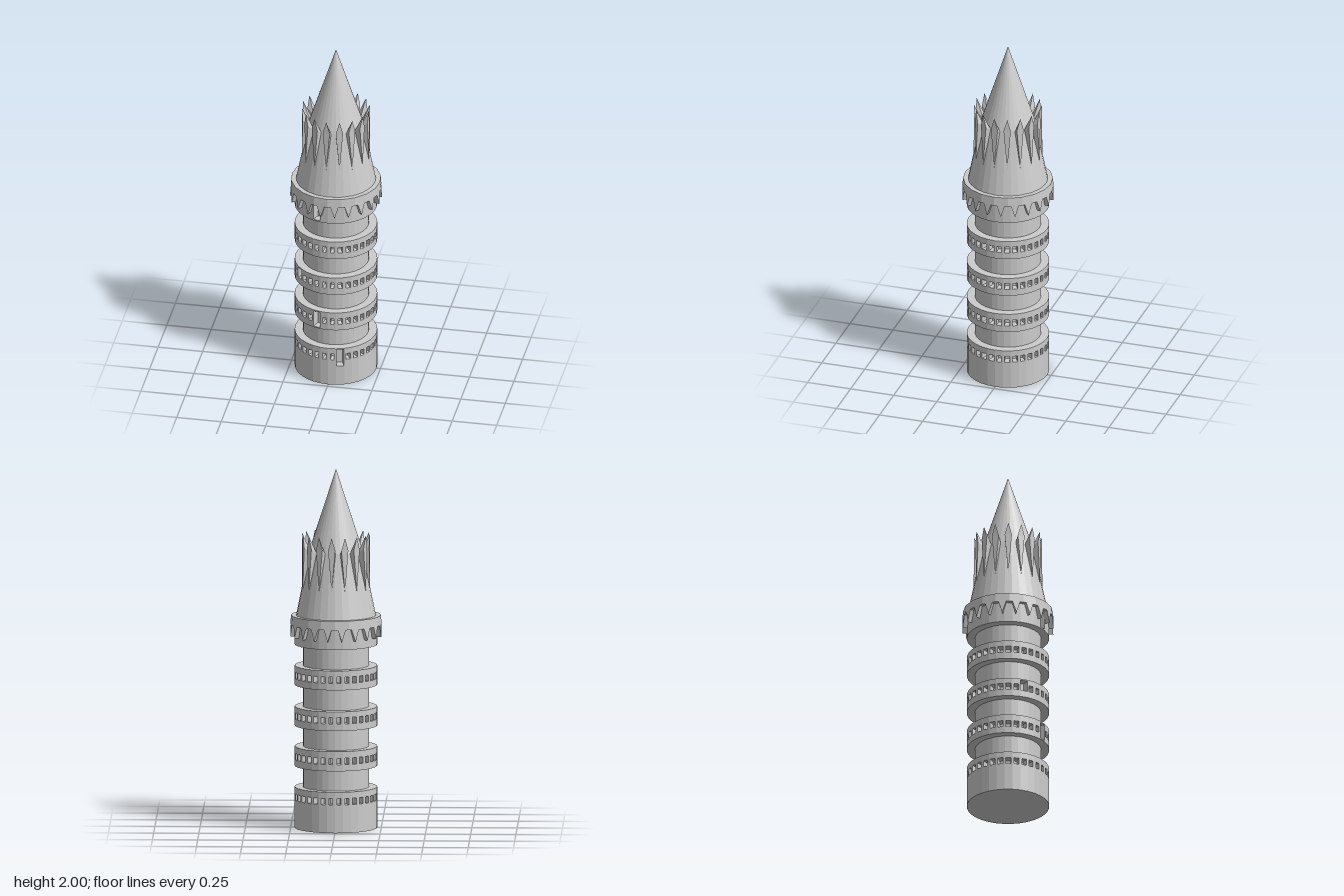
import * as THREE from 'three';
import { mergeGeometries } from 'three/addons/utils/BufferGeometryUtils.js';

const SIDES = 32, R = 0.228, SHAFT = 0.1825;
const material = new THREE.MeshStandardMaterial({ color: 0xcccccc, flatShading: true, side: THREE.DoubleSide });

function add(group, name, geometry) {
  const mesh = new THREE.Mesh(geometry, material);
  mesh.name = name;
  group.add(mesh);
}

function cylinder(top, bottom, y0, y1) {
  return new THREE.CylinderGeometry(top, bottom, y1 - y0, SIDES).translate(0, (y0 + y1) / 2, 0);
}

function polygon(points) {
  return points.map(([x, y]) => new THREE.Vector2(x, y));
}

function rect(halfWidth, y0, y1) {
  return polygon([[-halfWidth, y0], [halfWidth, y0], [halfWidth, y1], [-halfWidth, y1]]);
}

// One wedge-shaped wall panel: a flat outline given thickness and tapered toward the axis
function panel(shape, inner, outer, count, index, flare = () => 0) {
  const g = new THREE.ExtrudeGeometry(shape, { depth: 1, bevelEnabled: false });
  const p = g.attributes.position;
  for (let i = 0; i < p.count; i++) {
    const y = p.getY(i);
    const r = p.getZ(i) > 0.5 ? outer + flare(y) : inner;
    p.setXYZ(i, p.getX(i) * r / outer, y, r * Math.cos(Math.PI / count));
  }
  g.rotateY((index + 0.5) * 2 * Math.PI / count);
  g.computeVertexNormals();
  return g;
}

// Ring of panels with a row of windows; door = { index, y0, y1 } replaces one window
function gallery(y0, y1, windowY, door) {
  const half = R * Math.sin(Math.PI / SIDES);
  const panels = [];
  for (let i = 0; i < SIDES; i++) {
    const shape = new THREE.Shape(rect(half, y0, y1));
    const side = Math.abs(Math.sin((i + 0.5) * 2 * Math.PI / SIDES));
    if (door && i === (door.index + SIDES) % SIDES) {
      shape.holes.push(new THREE.Path(rect(0.0205, door.y0, door.y1)));
    } else if (windowY) {
      shape.holes.push(new THREE.Path(rect(0.01 + 0.005 * side, windowY - 0.018, windowY + 0.018)));
    }
    panels.push(panel(shape, SHAFT - 0.004, R, SIDES, i));
  }
  return mergeGeometries(panels);
}

// Overhanging brim whose lower edge is cut into teeth
function toothedBrim() {
  const count = 20, outer = 0.248, h = outer * Math.sin(Math.PI / count);
  const top = 1.185, valley = 1.135, tip = 1.068;
  const outline = polygon([[-h, top], [-h, valley], [-0.55 * h, valley], [0, tip],
    [0.55 * h, valley], [h, valley], [h, top]]);
  const panels = [];
  for (let i = 0; i < count; i++) {
    panels.push(panel(new THREE.Shape(outline), 0.222, outer, count, i, y => (top - y) * 0.08));
  }
  return mergeGeometries(panels);
}

// Leaf-like spike: foot on the roof, widening upward to a sloped, pointed top
function spike(angle) {
  const corners = [
    [0, 1.33, 0.19],       // foot
    [-0.02, 1.57, 0.187],  // outer corners
    [0.02, 1.57, 0.187],
    [0.016, 1.54, 0.146],  // inner corners
    [-0.016, 1.54, 0.146],
    [0, 1.64, 0.189],      // tip
  ];
  const faces = [0, 2, 1, 0, 3, 2, 0, 4, 3, 0, 1, 4, 1, 2, 5, 2, 3, 5, 3, 4, 5, 4, 1, 5];
  const g = new THREE.BufferGeometry();
  g.setAttribute('position', new THREE.Float32BufferAttribute(corners.flat(), 3));
  g.setIndex(faces);
  const flat = g.toNonIndexed();
  flat.computeVertexNormals();
  return flat.rotateY(angle);
}

export function createModel() {
  const tower = new THREE.Group();
  tower.name = 'tower';

  // Shaft and foot
  add(tower, 'shaft', cylinder(SHAFT, SHAFT, 0.1, 1.15));
  add(tower, 'foot', cylinder(R, R, 0, 0.11));

  // Windowed galleries, some with a doorway
  add(tower, 'baseGallery', gallery(0.11, 0.228, 0.175, { index: 1, y0: 0.118, y1: 0.222 }));
  add(tower, 'lowerGallery', gallery(0.345, 0.455, 0.4, { index: -2, y0: 0.352, y1: 0.448 }));
  add(tower, 'middleGallery', gallery(0.57, 0.677, 0.627, { index: -5, y0: 0.608, y1: 0.67 }));
  add(tower, 'upperGallery', gallery(0.797, 0.905, 0.853));

  // Collar under the roof
  add(tower, 'collar', gallery(1.022, 1.135, 0, { index: -2, y0: 1.03, y1: 1.125 }));
  add(tower, 'collarTop', cylinder(R, R, 1.135, 1.184));
  add(tower, 'toothedBrim', toothedBrim());

  // Roof and spire
  add(tower, 'roof', cylinder(0.148, 0.22, 1.184, 1.545));
  add(tower, 'spire', new THREE.ConeGeometry(0.148, 0.455, SIDES).translate(0, 1.7725, 0));

  // Crown of spikes
  const spikes = [];
  for (let i = 0; i < 16; i++) spikes.push(spike(i * Math.PI / 8 - 0.1));
  add(tower, 'spikeCrown', mergeGeometries(spikes));

  return tower;
}
